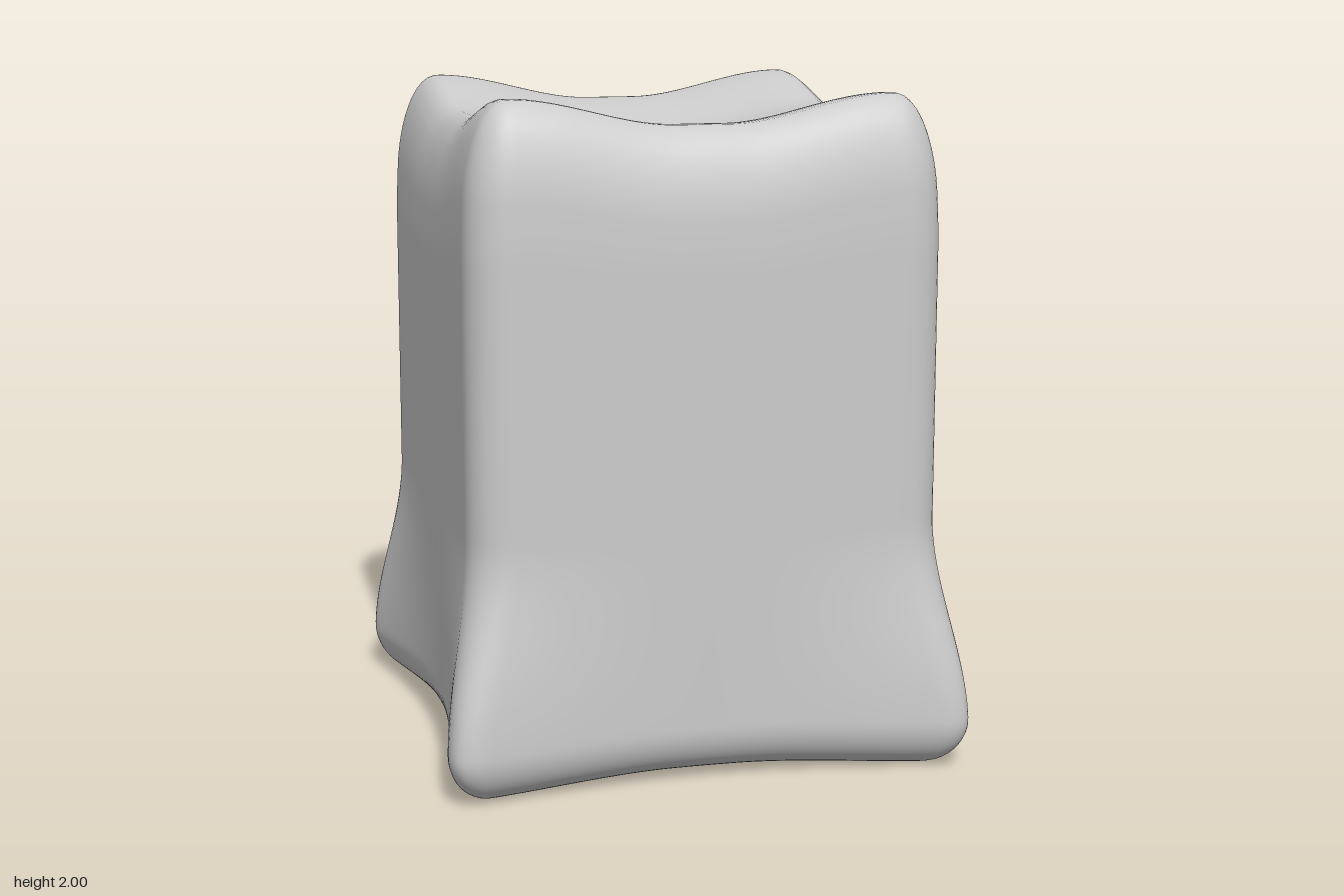
import * as THREE from 'three';
import { mergeVertices } from 'three/addons/utils/BufferGeometryUtils.js';

const { clamp, smoothstep } = THREE.MathUtils;
const HALF = 0.705, TOP = 1.84;          // half width and height at the middle of the top
const R = 0.12, R_TOP = 0.25, R_BOTTOM = 0.15;

// Soft rise from the middle of a face towards its corners
const rise = (u) => smoothstep(Math.abs(u), 0.08, 0.58);

// Puts a point of the plain box onto a box with rounded edges
function roundOff(p) {
  const ry = p.y > TOP / 2 ? R_TOP : R_BOTTOM;
  const inner = new THREE.Vector3(
    clamp(p.x, R - HALF, HALF - R),
    clamp(p.y, R_BOTTOM, TOP - R_TOP),
    clamp(p.z, R - HALF, HALF - R));
  const d = p.clone().sub(inner).divide(new THREE.Vector3(R, ry, R)).normalize();
  p.set(inner.x + d.x * R, inner.y + d.y * ry, inner.z + d.z * R);
}

// Depth of the two oval hollows on the left face
function hollow(y, z) {
  const dy = (y - 1.05) / 0.23, dz = (Math.abs(z) - 0.19) / 0.17;
  const r = Math.hypot(dy, dz);
  return 0.075 * (1 + 0.25 * clamp(dy, -1, 1)) * (1 - smoothstep(r, 0.55, 1.15));
}

function bodyGeometry() {
  let geo = new THREE.BoxGeometry(2 * HALF, TOP, 2 * HALF, 64, 96, 64);
  geo.translate(0, TOP / 2, 0);
  geo.deleteAttribute('uv');
  geo.deleteAttribute('normal');
  geo = mergeVertices(geo);

  const pos = geo.attributes.position;
  const p = new THREE.Vector3();
  for (let i = 0; i < pos.count; i++) {
    p.fromBufferAttribute(pos, i);
    roundOff(p);
    const { x, y, z } = p;

    // Bottom corners flare out, the top draws in slightly
    const flare = 0.16 * (1 - smoothstep(y, 0.12, 0.75));
    const taper = 1 - 0.025 * smoothstep(y, 1.45, TOP);
    p.x *= taper * (1 + flare * (z / HALF) ** 2);
    p.z *= taper * (1 + flare * (x / HALF) ** 2);

    // Top corners rise around a shallow bowl, the underside is slightly hollow
    const lift = rise(x) + rise(z);
    p.y += 0.08 * lift * smoothstep(y, 1.0, TOP);
    p.y += 0.02 * (2 - lift) * (1 - smoothstep(y, 0, 0.5));

    if (x > 0.6) p.x -= hollow(p.y, p.z);
    pos.setXYZ(i, p.x, p.y, p.z);
  }
  geo.computeVertexNormals();
  return geo;
}

export function createModel() {
  const group = new THREE.Group();
  group.name = 'softBlock';
  const body = new THREE.Mesh(bodyGeometry(), new THREE.MeshStandardMaterial({ color: 0xcccccc }));
  body.name = 'body';
  group.add(body);
  return group;
}
